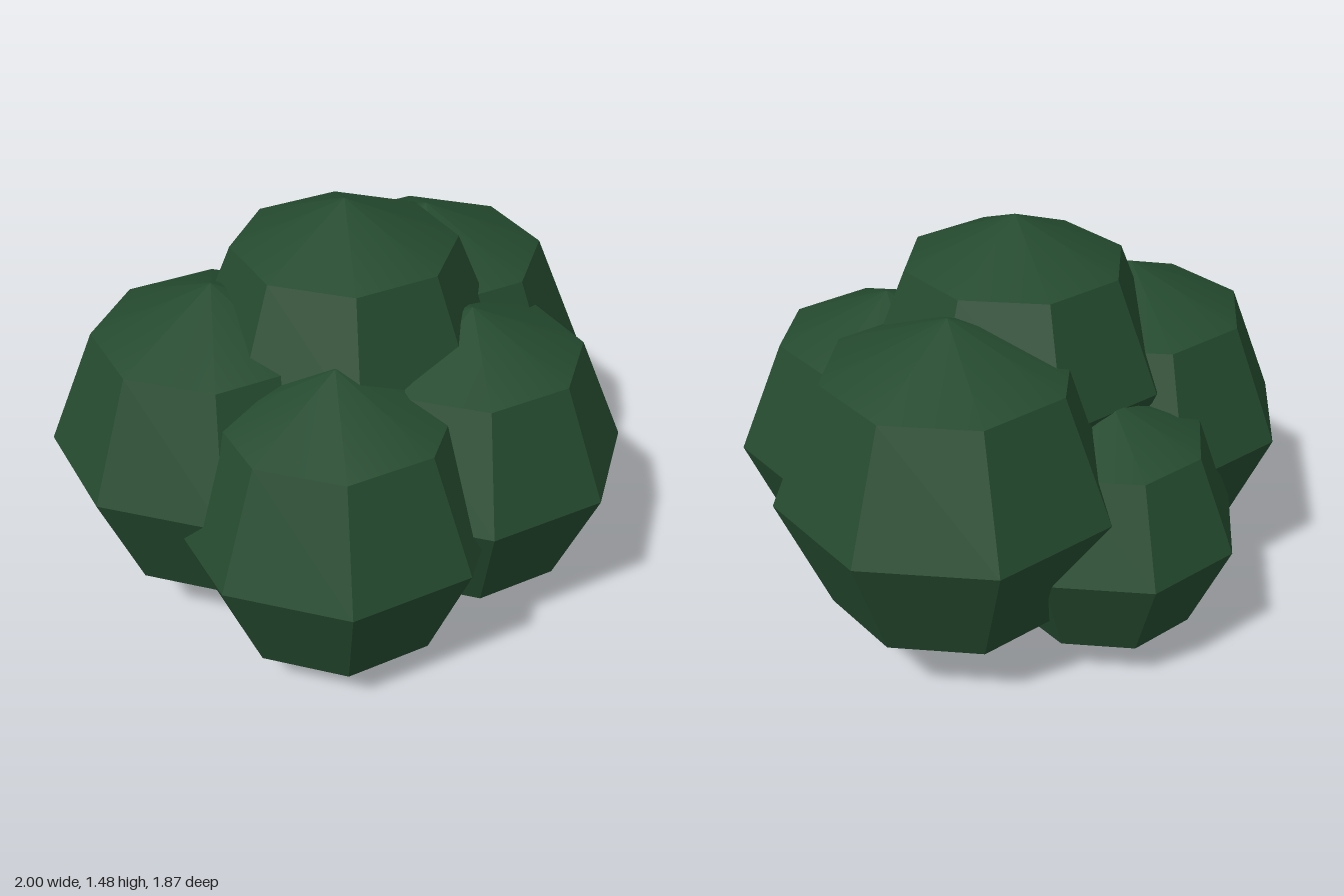
import * as THREE from 'three';
import { toCreasedNormals } from 'three/addons/utils/BufferGeometryUtils.js';

export function createModel() {
  const bush = new THREE.Group();
  bush.name = 'bush';

  const leafGreen = new THREE.MeshStandardMaterial({ color: 0x244a2e });
  leafGreen.name = 'leafGreen';

  // eight-sided ball: crisp side panels, softly shaded caps
  const ball = toCreasedNormals(new THREE.SphereGeometry(1, 8, 4), 0.4);

  // name, centre, radius of each leaf clump
  const clumps = [
    ['topClump', [-0.055, 0.945, -0.04], 0.542],
    ['leftClump', [0.4, 0.703, -0.042], 0.594],
    ['frontClump', [0.085, 0.624, 0.39], 0.545],
    ['backClump', [0.085, 0.505, -0.476], 0.463],
    ['frontRightClump', [-0.423, 0.558, 0.224], 0.555],
    ['backRightClump', [-0.423, 0.655, -0.31], 0.579],
  ];
  for (const [name, centre, radius] of clumps) {
    const clump = new THREE.Mesh(ball, leafGreen);
    clump.name = name;
    clump.position.set(...centre);
    clump.scale.setScalar(radius);
    bush.add(clump);
  }
  return bush;
}
